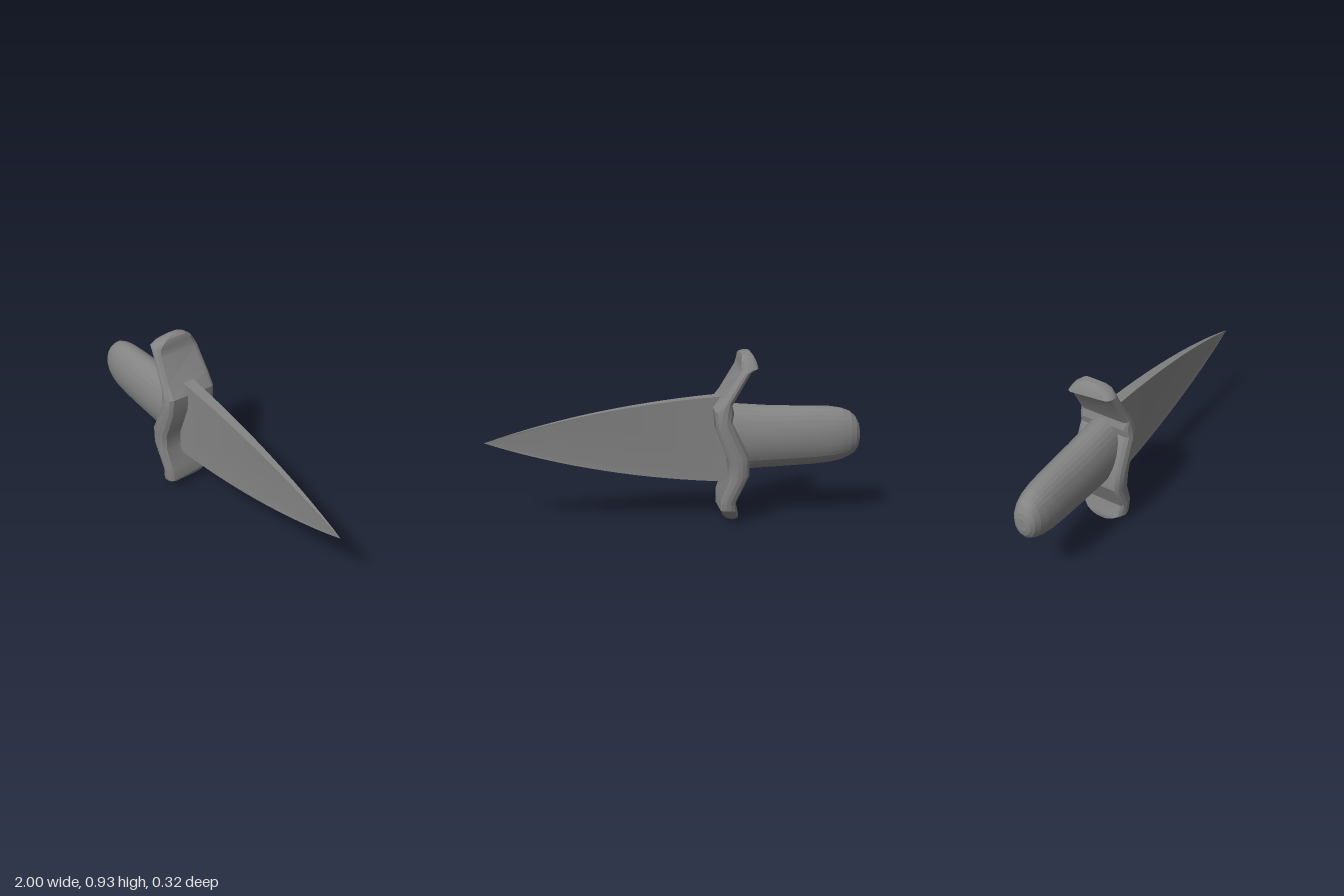
import * as THREE from 'three';
import { toCreasedNormals } from 'three/addons/utils/BufferGeometryUtils.js';

const material = new THREE.MeshStandardMaterial({ color: 0x848484 });

// Closed skin over a row of rings; ringPoint(ring, angle) gives each corner.
function loft(rings, sides, ringPoint) {
  const pos = [], index = [];
  const n = rings.length;
  rings.forEach((ring) => {
    for (let j = 0; j < sides; j++) pos.push(...ringPoint(ring, ((j + 0.5) / sides) * Math.PI * 2));
  });
  for (let i = 0; i < n - 1; i++) {
    for (let j = 0; j < sides; j++) {
      const k = (j + 1) % sides;
      const a = i * sides + j, b = i * sides + k, c = a + sides, d = b + sides;
      index.push(a, c, b, b, c, d);
    }
  }
  // End caps
  const last = (n - 1) * sides;
  for (let j = 1; j < sides - 1; j++) {
    index.push(0, j, j + 1, last, last + j + 1, last + j);
  }
  const geometry = new THREE.BufferGeometry();
  geometry.setAttribute('position', new THREE.Float32BufferAttribute(pos, 3));
  geometry.setIndex(index);
  return geometry;
}

function addPart(group, name, geometry) {
  const mesh = new THREE.Mesh(geometry, material);
  mesh.name = name;
  group.add(mesh);
}

// Rounded grip: x, bottom, top, half depth
function handleGeometry() {
  const rings = [
    [-1.0, 0.415, 0.49, 0.028], [-0.993, 0.385, 0.523, 0.046], [-0.975, 0.358, 0.556, 0.063],
    [-0.945, 0.337, 0.584, 0.076], [-0.9, 0.318, 0.602, 0.087], [-0.84, 0.305, 0.613, 0.095],
    [-0.75, 0.297, 0.618, 0.1], [-0.62, 0.291, 0.621, 0.105], [-0.5, 0.286, 0.626, 0.108],
    [-0.4, 0.281, 0.634, 0.11], [-0.29, 0.278, 0.643, 0.11],
  ];
  return toCreasedNormals(loft(rings, 32, ([x, lo, hi, depth], a) => [
    x, (lo + hi) / 2 + ((hi - lo) / 2) * Math.sin(a), -0.003 + depth * Math.cos(a),
  ]), 0.15);
}

// Zigzag guard, top to bottom: back x, back y, front x, front y, half depth, skew across z
function guardGeometry() {
  const rings = [
    [-0.395, 0.924, -0.362, 0.926, 0.03, 0], [-0.41, 0.908, -0.35, 0.915, 0.07, 0],
    [-0.422, 0.887, -0.343, 0.893, 0.105, 0.06], [-0.43, 0.86, -0.342, 0.858, 0.13, 0.11],
    [-0.395, 0.835, -0.333, 0.83, 0.135, 0.05],
    [-0.294, 0.658, -0.255, 0.7, 0.148, 0], [-0.303, 0.615, -0.203, 0.63, 0.153, 0.02],
    [-0.294, 0.572, -0.21, 0.535, 0.157, 0], [-0.385, 0.38, -0.278, 0.355, 0.158, 0],
    [-0.39, 0.278, -0.283, 0.255, 0.152, 0], [-0.32, 0.123, -0.24, 0.137, 0.14, 0],
    [-0.33, 0.065, -0.24, 0.068, 0.131, -0.1], [-0.338, 0.04, -0.255, 0.042, 0.105, -0.05],
    [-0.338, 0.018, -0.275, 0.02, 0.07, 0], [-0.335, 0.004, -0.305, 0.001, 0.03, 0],
  ];
  // Flat front and back with rounded long edges
  const sides = 12, reach = Math.cos(Math.PI / sides);
  return toCreasedNormals(loft(rings, sides, ([bx, by, fx, fy, depth, skew], a) => {
    const u = 0.5 + (0.5 * Math.cos(a)) / reach;
    const s = Math.sin(a) / reach;
    const z = -depth * Math.sign(s) * (0.74 + 0.26 * Math.abs(s));
    return [bx + (fx - bx) * u, by + (fy - by) * u + skew * z, z];
  }), 0.4);
}

// Leaf-shaped blade, its thickness tapering to nothing at the tip
function bladeGeometry() {
  const root = -0.29, half = 0.034;
  const shape = new THREE.Shape();
  shape.moveTo(root, 0.217);
  shape.quadraticCurveTo(0.4, 0.25, 1, 0.455);
  shape.quadraticCurveTo(0.42, 0.645, root, 0.69);
  shape.closePath();
  const geometry = new THREE.ExtrudeGeometry(shape, { depth: 2 * half, bevelEnabled: false, curveSegments: 16 });
  geometry.translate(0, 0, -half);
  const p = geometry.attributes.position;
  for (let i = 0; i < p.count; i++) {
    const taper = Math.max(0, (1 - p.getX(i)) / (1 - root));
    p.setZ(i, p.getZ(i) * Math.pow(taper, 0.75));
  }
  return toCreasedNormals(geometry, 0.5);
}

export function createModel() {
  const group = new THREE.Group();
  group.name = 'dagger';
  addPart(group, 'handle', handleGeometry());
  addPart(group, 'guard', guardGeometry());
  addPart(group, 'blade', bladeGeometry());
  return group;
}
